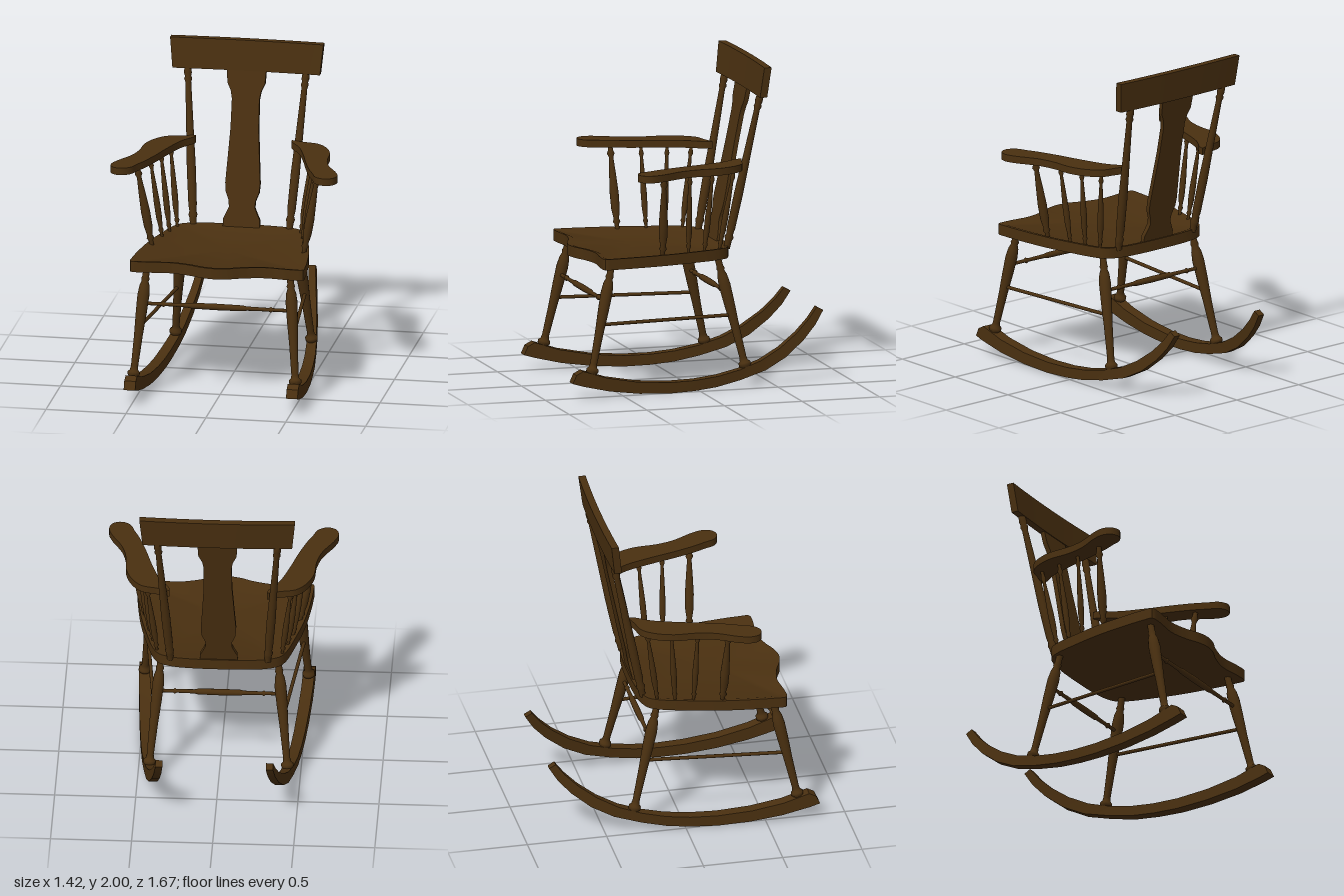
import * as THREE from 'three';
import { toCreasedNormals } from 'three/addons/utils/BufferGeometryUtils.js';

const V = (x, y, z) => new THREE.Vector3(x, y, z);

export function createModel() {
  const chair = new THREE.Group();
  chair.name = 'rockingChair';
  const wood = new THREE.MeshStandardMaterial({ color: 0x4a3010 });
  wood.name = 'darkWood';

  const add = (name, geometry) => {
    const mesh = new THREE.Mesh(geometry, wood);
    mesh.name = name;
    chair.add(mesh);
    return mesh;
  };

  // Turned part between two points; profile rows are [fraction along, radius]
  const turned = (name, a, b, profile) => {
    const dir = b.clone().sub(a), len = dir.length();
    const pts = profile.map(([t, r]) => new THREE.Vector2(r, t * len));
    const mesh = add(name, new THREE.LatheGeometry(pts, 14));
    mesh.position.copy(a);
    mesh.quaternion.setFromUnitVectors(V(0, 1, 0), dir.normalize());
  };

  // Closed solid through equal-sized rings, capped at both ends
  const loft = (rings, crease) => {
    const n = rings[0].length, tris = [];
    const centre = (r) => r.reduce((c, p) => c.add(p), V(0, 0, 0)).divideScalar(n);
    const first = centre(rings[0]), last = centre(rings[rings.length - 1]);
    for (let j = 0; j < n; j++) {
      const k = (j + 1) % n, end = rings[rings.length - 1];
      tris.push([first, rings[0][k], rings[0][j]], [last, end[j], end[k]]);
      for (let i = 0; i < rings.length - 1; i++) {
        const p = rings[i], q = rings[i + 1];
        tris.push([p[j], p[k], q[k]], [p[j], q[k], q[j]]);
      }
    }
    // Turn the faces outward whichever way the rings run
    const volume = tris.reduce((v, [a, b, c]) => v + a.dot(b.clone().cross(c)), 0);
    if (volume < 0) tris.forEach((t) => t.reverse());
    const geometry = new THREE.BufferGeometry().setFromPoints(tris.flat());
    return toCreasedNormals(geometry, crease);
  };

  // Seat: wavy front, rounded back corners, slightly dished top
  const half = [[0.17, -0.258], [0.29, -0.243], [0.37, -0.21], [0.41, -0.15], [0.46, 0.02], [0.502, 0.2],
    [0.53, 0.4], [0.543, 0.56], [0.54, 0.625], [0.46, 0.632], [0.3, 0.617], [0.17, 0.645], [0.085, 0.68]];
  const outline = [[0, -0.262], ...half, [0, 0.695], ...half.slice().reverse().map(([x, z]) => [-x, z])];
  const seatCurve = new THREE.CatmullRomCurve3(outline.map(([x, z]) => V(x, 0, z)), true);
  const seatPts = seatCurve.getPoints(112).slice(0, -1);
  const seatRing = (y, s) => seatPts.map((p) => V(p.x * s, y, 0.2 + (p.z - 0.2) * s));
  add('seat', loft([seatRing(0.8, 1), seatRing(0.868, 1), seatRing(0.866, 0.95), seatRing(0.857, 0.9)], 0.6));

  // Crest rail: flared upward, leaning and bowed backward
  const crest = new THREE.BoxGeometry(0.96, 0.19, 0.046, 20, 1, 1);
  const cp = crest.attributes.position;
  for (let i = 0; i < cp.count; i++) {
    const x = cp.getX(i), y = cp.getY(i);
    cp.setX(i, x * (0.98 + y * 0.2));
    cp.setZ(i, cp.getZ(i) - 0.12 * y - 0.013 * (1 - (x / 0.48) ** 2));
  }
  crest.computeVertexNormals();
  add('crestRail', crest).position.set(0, 1.905, -0.43);

  // Back splat: shaped board leaning with the posts
  const side = [[0.115, 0], [0.115, 0.055], [0.098, 0.09], [0.081, 0.13], [0.084, 0.17], [0.105, 0.225],
    [0.109, 0.28], [0.1, 0.42], [0.088, 0.62], [0.086, 0.8], [0.095, 0.85], [0.118, 0.9], [0.122, 0.98]];
  const splatShape = new THREE.Shape([...side, ...side.slice().reverse().map(([x, y]) => [-x, y])]
    .map(([x, y]) => new THREE.Vector2(x, y)));
  const splatGeo = new THREE.ExtrudeGeometry(splatShape, { depth: 0.028, bevelEnabled: false });
  splatGeo.translate(0, 0, -0.014);
  const splat = add('backSplat', toCreasedNormals(splatGeo, 0.6));
  splat.position.set(0, 0.85, -0.235);
  splat.rotation.x = Math.atan2(-0.195, 0.97);

  // Turning profiles
  const legProfile = [[0, 0.024], [0.04, 0.024], [0.06, 0.038], [0.085, 0.038], [0.1, 0.026], [0.13, 0.022],
    [0.4, 0.027], [0.6, 0.034], [0.75, 0.037], [0.83, 0.031], [0.87, 0.021], [0.89, 0.026], [0.91, 0.021], [1, 0.021]];
  const postProfile = [[0, 0.02], [0.05, 0.022], [0.07, 0.028], [0.09, 0.021], [0.13, 0.026], [0.35, 0.028],
    [0.6, 0.023], [0.88, 0.018], [0.9, 0.025], [0.915, 0.019], [0.935, 0.024], [0.96, 0.022], [1, 0.018]];
  const spindleProfile = [[0, 0.5], [0.07, 0.5], [0.1, 0.85], [0.13, 0.6], [0.25, 0.95], [0.42, 1],
    [0.65, 0.75], [0.84, 0.5], [0.88, 0.85], [0.92, 0.55], [1, 0.55]];
  const crossProfile = [[0, 0.011], [0.13, 0.011], [0.14, 0.018], [0.155, 0.011], [0.3, 0.013], [0.33, 0.018],
    [0.5, 0.02], [0.67, 0.018], [0.7, 0.013], [0.845, 0.011], [0.86, 0.018], [0.87, 0.011], [1, 0.011]];

  // Arm outline (x, z)
  const arm = [[0.3, -0.325], [0.38, -0.3], [0.475, -0.275], [0.54, -0.2], [0.58, -0.09], [0.588, 0.045],
    [0.618, 0.165], [0.682, 0.285], [0.708, 0.365], [0.688, 0.425], [0.632, 0.444], [0.578, 0.413],
    [0.55, 0.347], [0.515, 0.267], [0.47, 0.133], [0.427, -0.02], [0.373, -0.18], [0.31, -0.28]];

  // Rocker sections: lower z, lower y, upper z, upper y, centre x, half width
  const rocker = [[0.836, 0.1, 0.812, 0.152, 0.508, 0.036], [0.77, 0.08, 0.768, 0.175, 0.507, 0.036],
    [0.6, 0.04, 0.61, 0.123, 0.5, 0.036], [0.4, 0.012, 0.41, 0.085, 0.488, 0.036],
    [0.2, 0, 0.2, 0.068, 0.475, 0.035], [0.04, 0.004, 0.03, 0.07, 0.462, 0.034],
    [-0.11, 0.018, -0.12, 0.085, 0.449, 0.033], [-0.27, 0.05, -0.27, 0.115, 0.431, 0.031],
    [-0.44, 0.098, -0.41, 0.16, 0.411, 0.028], [-0.58, 0.17, -0.54, 0.228, 0.39, 0.026],
    [-0.7, 0.267, -0.655, 0.312, 0.368, 0.024], [-0.78, 0.355, -0.735, 0.39, 0.352, 0.023],
    [-0.833, 0.44, -0.792, 0.463, 0.341, 0.022]];

  for (const s of [1, -1]) {
    const tag = s > 0 ? 'left' : 'right';

    add(tag + 'Rocker', loft(rocker.map(([z0, y0, z1, y1, x, w]) => [
      V(s * (x - w), y0, z0), V(s * (x + w), y0, z0), V(s * (x + w), y1, z1), V(s * (x - w), y1, z1)]), 0.45));

    turned(tag + 'FrontLeg', V(s * 0.51, 0.12, 0.71), V(s * 0.448, 0.82, 0.555), legProfile);
    turned(tag + 'BackLeg', V(s * 0.43, 0.09, -0.32), V(s * 0.36, 0.82, -0.15), legProfile);
    turned(tag + 'SideStretcher', V(s * 0.482, 0.45, 0.63), V(s * 0.397, 0.45, -0.235), [[0, 0.011], [1, 0.011]]);
    turned(tag + 'BackPost', V(s * 0.3, 0.85, -0.23), V(s * 0.372, 1.84, -0.43), postProfile);

    const curve = new THREE.SplineCurve([...arm, arm[0]].map(([x, z]) => new THREE.Vector2(s * x, z)));
    const armGeo = new THREE.ExtrudeGeometry(new THREE.Shape(curve.getPoints(72).slice(0, -1)),
      { depth: 0.045, bevelEnabled: false });
    armGeo.rotateX(Math.PI / 2);
    add(tag + 'Arm', toCreasedNormals(armGeo, 0.6)).position.y = 1.406;

    // Arm spindles: bottom x, bottom z, top x, top z, radius
    [[0.475, 0.235, 0.567, 0.255, 0.028], [0.442, 0.06, 0.518, 0.072, 0.019],
      [0.415, -0.05, 0.48, -0.088, 0.019], [0.385, -0.155, 0.445, -0.235, 0.019]].forEach(([x0, z0, x1, z1, r]) =>
      turned(tag + 'ArmSpindle', V(s * x0, 0.85, z0), V(s * x1, 1.38, z1), spindleProfile.map(([t, k]) => [t, k * r])));
  }

  // Cross stretchers between the legs
  turned('frontStretcher', V(-0.468, 0.595, 0.605), V(0.468, 0.595, 0.605), crossProfile);
  turned('backStretcher', V(-0.382, 0.595, -0.202), V(0.382, 0.595, -0.202), crossProfile);

  return chair;
}
